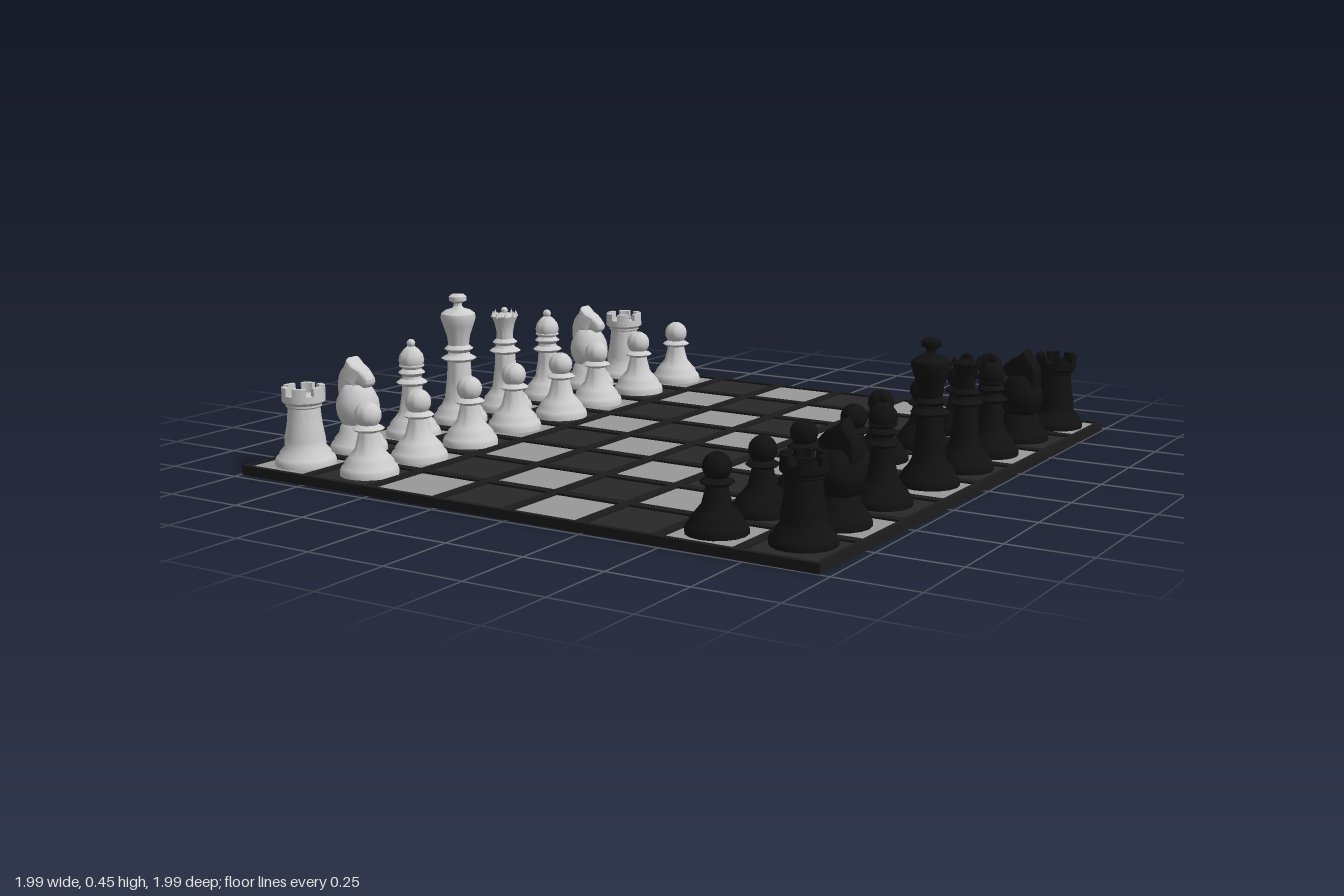
import * as THREE from 'three';
import { toCreasedNormals } from 'three/addons/utils/BufferGeometryUtils.js';

const mat = (color) => new THREE.MeshStandardMaterial({ color });
const PITCH = 0.246, SQUARE = 0.214, TOP = 0.022;

// Shared foot: wide disc and concave skirt, [radius, height]
const foot = (r, waist, h) => [
  [0, TOP], [r, TOP], [r, 0.036], [r * 0.95, 0.047], [r * 0.86, 0.054], [r * 0.83, 0.064],
  [r * 0.68, 0.079], [waist + 0.012, 0.1], [waist + 0.003, h * 0.5 + 0.06], [waist, h],
];
const ball = (r, y, from = -1.2, n = 8) => Array.from({ length: n + 1 }, (_, i) => {
  const a = from + (Math.PI / 2 - from) * i / n;
  return [Math.max(0, r * Math.cos(a)), y + r * Math.sin(a)];
});
const collar = (r, y, inner) => [[r * 0.85, y], [r, y + 0.006], [r * 0.85, y + 0.012], [inner, y + 0.018]];

// Turned profiles
const profiles = {
  pawn: [...foot(0.087, 0.03, 0.15), ...collar(0.048, 0.154, 0.028), ...ball(0.04, 0.2, -0.8)],
  rook: [...foot(0.092, 0.05, 0.18), [0.049, 0.198], [0.054, 0.202], [0.054, 0.208], [0.065, 0.217],
    [0.065, 0.238], [0.048, 0.238], [0.048, 0.232], [0, 0.232]],
  knight: [...foot(0.089, 0.044, 0.1), [0.052, 0.112], [0.064, 0.135], [0.068, 0.16], [0.064, 0.185],
    [0.052, 0.21], [0.038, 0.23], [0, 0.24]],
  bishop: [...foot(0.088, 0.032, 0.185), ...collar(0.05, 0.19, 0.032), [0.03, 0.216], ...collar(0.043, 0.222, 0.03),
    [0.037, 0.25], [0.041, 0.268], [0.037, 0.286], [0.024, 0.303], [0.012, 0.312], ...ball(0.014, 0.322, -0.8, 5)],
  queen: [...foot(0.089, 0.034, 0.215), ...collar(0.053, 0.22, 0.034), [0.031, 0.246], ...collar(0.042, 0.25, 0.028),
    [0.028, 0.29], [0.034, 0.32], [0.045, 0.346], [0.036, 0.346], [0.026, 0.353], [0.012, 0.358],
    ...ball(0.012, 0.364, -0.6, 5)],
  king: [...foot(0.09, 0.038, 0.225), ...collar(0.058, 0.23, 0.038), [0.035, 0.256], ...collar(0.048, 0.262, 0.034),
    [0.038, 0.31], [0.05, 0.345], [0.058, 0.37], [0.056, 0.385], [0.042, 0.396], [0.02, 0.403], [0.014, 0.41],
    [0.014, 0.42], [0.029, 0.428], [0.029, 0.442], [0.02, 0.449], [0, 0.451]],
};

// Ring-shaped block used for battlements
function sector(inner, outer, angle, height) {
  const s = new THREE.Shape();
  s.absarc(0, 0, outer, -angle / 2, angle / 2, false);
  s.absarc(0, 0, inner, angle / 2, -angle / 2, true);
  return new THREE.ExtrudeGeometry(s, { depth: height, bevelEnabled: false, curveSegments: 4 }).rotateX(-Math.PI / 2);
}

function ring(group, name, geometry, count, material) {
  for (let i = 0; i < count; i++) {
    const m = new THREE.Mesh(geometry, material);
    m.name = name;
    m.rotation.y = i / count * Math.PI * 2;
    group.add(m);
  }
}

// Horse head facing +x, drawn in x/y and rounded by its bevel
function horseHead() {
  const s = new THREE.Shape();
  s.moveTo(-0.042, 0.18);
  s.bezierCurveTo(-0.055, 0.22, -0.05, 0.265, -0.022, 0.285);
  s.lineTo(-0.014, 0.304);
  s.lineTo(0.002, 0.287);
  s.quadraticCurveTo(0.03, 0.278, 0.052, 0.25);
  s.quadraticCurveTo(0.056, 0.236, 0.042, 0.232);
  s.quadraticCurveTo(0.025, 0.243, 0.012, 0.238);
  s.quadraticCurveTo(0.022, 0.215, 0.042, 0.18);
  s.closePath();
  const g = new THREE.ExtrudeGeometry(s, {
    depth: 0.032, bevelThickness: 0.016, bevelSize: 0.008, bevelSegments: 3, curveSegments: 6,
  }).translate(0, 0, -0.016);
  // Narrow the muzzle
  const p = g.attributes.position;
  for (let i = 0; i < p.count; i++) {
    p.setZ(i, p.getZ(i) * (1 - 0.35 * THREE.MathUtils.smoothstep(p.getX(i), 0, 0.06)));
  }
  return toCreasedNormals(g, 0.7);
}

function makePiece(type, material, sides) {
  const g = new THREE.Group();
  g.name = type;
  const pts = profiles[type].map(([r, y]) => new THREE.Vector2(r, y));
  const body = new THREE.Mesh(toCreasedNormals(new THREE.LatheGeometry(pts, sides), 0.75), material);
  body.name = type + 'Body';
  g.add(body);
  if (type === 'rook') ring(g, 'battlement', sector(0.048, 0.065, 0.68, 0.026).translate(0, 0.236, 0), 6, material);
  if (type === 'queen') {
    ring(g, 'crownPoint', new THREE.ConeGeometry(0.009, 0.022, 6).translate(0.039, 0.354, 0), 8, material);
  }
  if (type === 'bishop') {
    const band = new THREE.Mesh(new THREE.TorusGeometry(0.037, 0.004, 6, sides).rotateX(Math.PI / 2), material);
    band.name = 'headBand';
    band.position.y = 0.25;
    g.add(band);
  }
  if (type === 'knight') {
    const head = new THREE.Mesh(horseHead(), material);
    head.name = 'horseHead';
    g.add(head);
  }
  return g;
}

function makeBoard() {
  const board = new THREE.Group();
  board.name = 'board';
  board.rotation.y = -0.0137;
  const half = PITCH * 4, frameMat = mat(0x1c1c1c), light = mat(0x999999), dark = mat(0x282828);
  const base = new THREE.Mesh(new THREE.BoxGeometry(half * 2, 0.016, half * 2), frameMat);
  base.name = 'boardBase';
  base.position.y = 0.008;
  board.add(base);

  // Raised lattice with a window for every square
  const rect = (Type, x, y, h) => new Type([[-h, -h], [h, -h], [h, h], [-h, h]]
    .map(([a, b]) => new THREE.Vector2(x + a, y + b)));
  const frame = rect(THREE.Shape, 0, 0, half);
  const tile = new THREE.BoxGeometry(SQUARE, 0.008, SQUARE);
  for (let i = 0; i < 8; i++) for (let j = 0; j < 8; j++) {
    const x = (i - 3.5) * PITCH, z = (j - 3.5) * PITCH;
    frame.holes.push(rect(THREE.Path, x, -z, SQUARE / 2));
    const m = new THREE.Mesh(tile, (i + j) % 2 ? light : dark);
    m.name = (i + j) % 2 ? 'lightSquare' : 'darkSquare';
    m.position.set(x, TOP - 0.004, z);
    board.add(m);
  }
  const lattice = new THREE.Mesh(
    new THREE.ExtrudeGeometry(frame, { depth: 0.012, bevelEnabled: false }).rotateX(-Math.PI / 2), frameMat);
  lattice.name = 'boardLattice';
  lattice.position.y = 0.016;
  board.add(lattice);
  return board;
}

export function createModel() {
  const model = new THREE.Group();
  model.name = 'chessSet';
  model.add(makeBoard());

  const order = ['rook', 'knight', 'bishop', 'queen', 'king', 'bishop', 'knight', 'rook'];
  const pawns = order.map(() => 'pawn');
  const white = { name: 'white', material: mat(0xcccccc), sides: 28, turn: 0 };
  const black = { name: 'black', material: mat(0x111111), sides: 16, turn: Math.PI };
  // Hand-placed rows: x and z of each piece from back to front
  const rows = [
    [white, order, [-0.829, -0.834, -0.84, -0.845, -0.856, -0.85, -0.856, -0.866],
      [-0.861, -0.636, -0.385, -0.144, 0.096, 0.348, 0.604, 0.834]],
    [white, pawns, [-0.62, -0.62, -0.631, -0.61, -0.631, -0.61, -0.615, -0.615],
      [-0.893, -0.636, -0.385, -0.139, 0.096, 0.358, 0.604, 0.834]],
    [black, pawns, [0.631, 0.636, 0.62, 0.594, 0.62, 0.594, 0.599, 0.594],
      [-0.877, -0.615, -0.364, -0.118, 0.118, 0.38, 0.626, 0.861]],
    [black, order, [0.872, 0.85, 0.85, 0.861, 0.85, 0.834, 0.834, 0.84],
      [-0.856, -0.615, -0.364, -0.139, 0.091, 0.369, 0.626, 0.84]],
  ];
  for (const [side, types, xs, zs] of rows) {
    types.forEach((type, i) => {
      const piece = makePiece(type, side.material, side.sides);
      piece.name = side.name + type[0].toUpperCase() + type.slice(1);
      piece.position.set(xs[i], 0, zs[i]);
      piece.rotation.y = side.turn;
      model.add(piece);
    });
  }
  return model;
}
